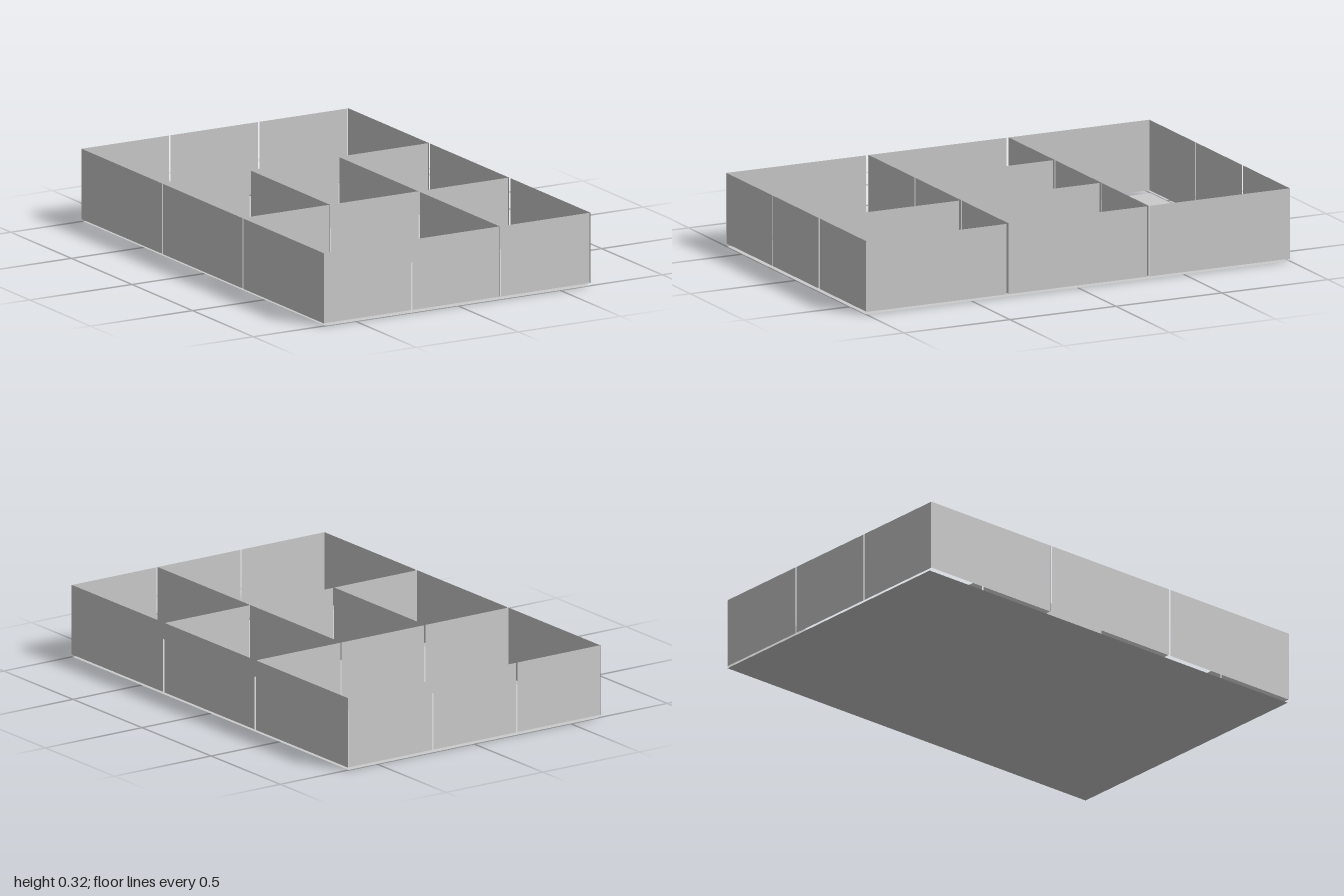
import * as THREE from 'three';

export function createModel() {
  const tray = new THREE.Group();
  tray.name = 'dividedTray';
  const material = new THREE.MeshStandardMaterial({ color: 0xcccccc, side: THREE.DoubleSide });

  const bottom = 0.011, top = 0.317;
  const height = top - bottom, midY = (top + bottom) / 2;

  // Grid lines of the three by three compartments
  const lineX = [-0.655, -0.226, 0.207, 0.65];
  const lineZ = [-0.998, -0.334, 0.326, 0.997];
  // Panel spans between the lines, leaving narrow seams
  const spanX = [[-0.655, -0.227], [-0.22, 0.207], [0.214, 0.645]];
  const spanZ = [[-1, -0.335], [-0.325, 0.328], [0.338, 1]];

  function addPanel(name, length, x, z, turn) {
    const panel = new THREE.Mesh(new THREE.PlaneGeometry(length, height), material);
    panel.name = name;
    panel.position.set(x, midY, z);
    panel.rotation.y = turn;
    tray.add(panel);
  }

  // Floor sheet, just below the walls
  const floor = new THREE.Mesh(new THREE.PlaneGeometry(1.292, 2), material);
  floor.name = 'floor';
  floor.rotation.x = -Math.PI / 2;
  tray.add(floor);

  // Crosswise walls and dividers
  lineZ.forEach((z, row) => {
    const name = ['backWall', 'crossDivider', 'crossDivider', 'frontWall'][row];
    for (const [a, b] of spanX) addPanel(name, b - a, (a + b) / 2, z, 0);
  });

  // Lengthwise walls and dividers; merged compartments have none
  const present = [[1, 1, 1], [0, 1, 0], [0, 1, 1], [1, 1, 1]];
  lineX.forEach((x, column) => {
    const name = ['rightWall', 'lengthDivider', 'lengthDivider', 'leftWall'][column];
    spanZ.forEach(([a, b], row) => {
      if (present[column][row]) addPanel(name, b - a, x, (a + b) / 2, Math.PI / 2);
    });
  });

  return tray;
}
